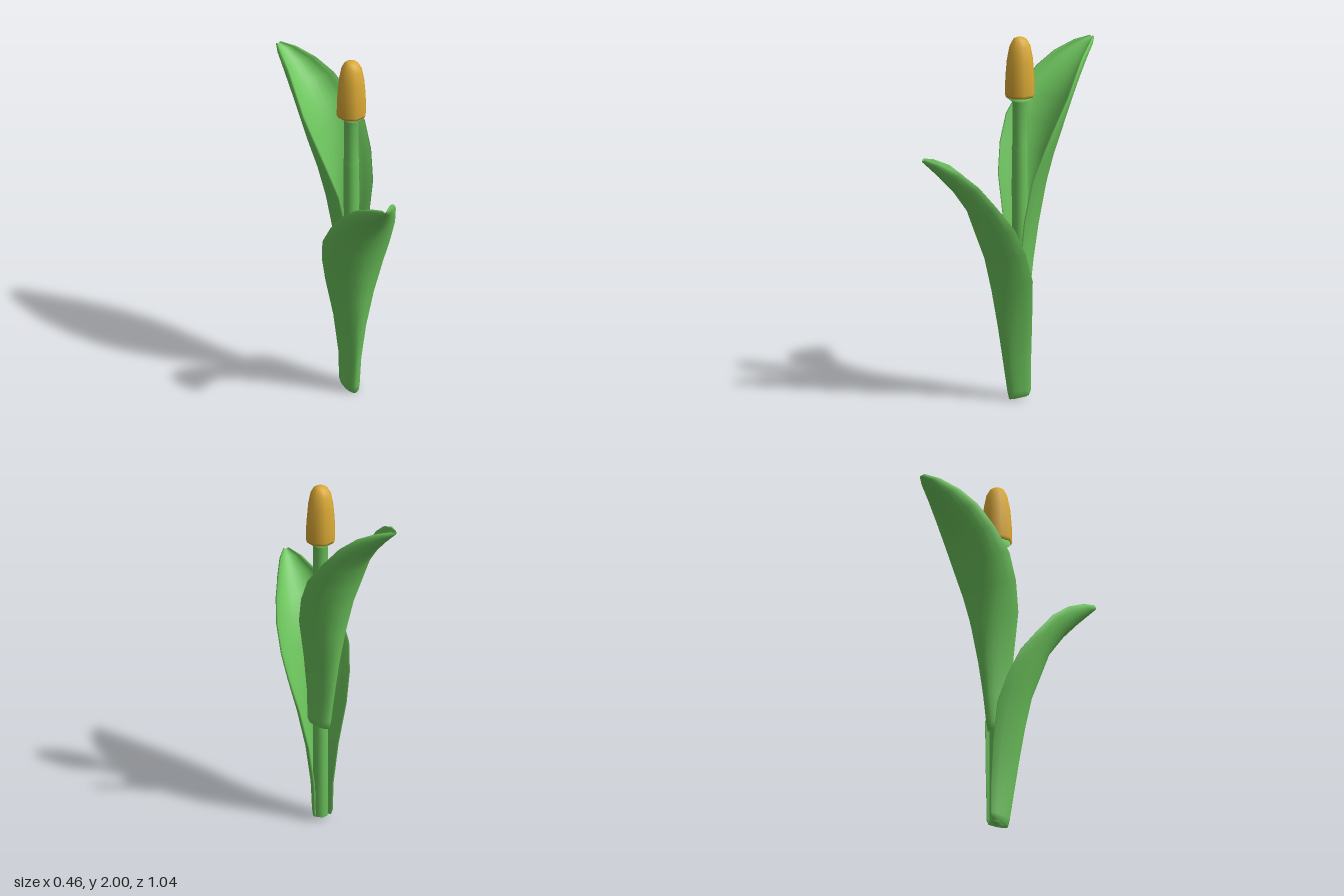
import * as THREE from 'three';

const green = new THREE.MeshStandardMaterial({ color: 0x6cc45c });
green.name = 'leafGreen';
const amber = new THREE.MeshStandardMaterial({ color: 0xdcaa36 });
amber.name = 'budAmber';

// Stem axis in the model frame
const AXIS_X = 0.035, AXIS_Z = -0.035;

// Leaf sections: spine y, spine z, edge y, edge z, half width (z from the stem axis)
const SECTIONS = [
  [0.005, 0.060, 0.03, -0.035, 0.048],
  [0.05, 0.070, 0.06, -0.045, 0.054],
  [0.20, 0.092, 0.22, -0.045, 0.058],
  [0.40, 0.122, 0.45, -0.042, 0.088],
  [0.60, 0.155, 0.68, -0.030, 0.138],
  [0.78, 0.192, 0.84, 0.020, 0.175],
  [0.93, 0.246, 0.98, 0.085, 0.195],
  [1.05, 0.288, 1.11, 0.185, 0.185],
  [1.17, 0.372, 1.22, 0.275, 0.155],
  [1.26, 0.455, 1.295, 0.365, 0.112],
  [1.325, 0.522, 1.345, 0.465, 0.062],
  [1.35, 0.548, 1.365, 0.535, 0.016],
];

// Curved, folded blade: outer skin left to right, then inner skin back again
function leafGeometry() {
  const M = 13, N = 2 * M, T = 0.02;
  const pos = [], idx = [];
  for (const [sy, sz, ey, ez, w] of SECTIONS) {
    const len = Math.hypot(ey - sy, ez - sz);
    const t = Math.min(T, len * 0.5);
    const uy = (ey - sy) / len, uz = (ez - sz) / len;
    for (let k = 0; k < N; k++) {
      const inner = k >= M;
      const s = ((inner ? N - 1 - k : k) / (M - 1)) * 2 - 1;
      const a = s * 1.35;
      const f = (1 - Math.cos(a)) / (1 - Math.cos(1.35));
      const d = len * f + (inner ? t * (1 - 0.9 * f) : 0);
      const half = inner ? w - Math.min(0.01, w * 0.3) : w;
      pos.push(half * Math.sin(a) / Math.sin(1.35), sy + uy * d, sz + uz * d);
    }
  }
  const rings = SECTIONS.length;
  for (let i = 0; i < rings - 1; i++) {
    for (let k = 0; k < N; k++) {
      const a = i * N + k, b = i * N + (k + 1) % N;
      idx.push(a, b, b + N, a, b + N, a + N);
    }
  }
  // Close the rim at the base and the tip
  const top = (rings - 1) * N;
  for (let k = 0; k < M - 1; k++) {
    const a = k, b = k + 1, c = N - 2 - k, d = N - 1 - k;
    idx.push(a, c, b, a, d, c);
    idx.push(top + a, top + b, top + c, top + a, top + c, top + d);
  }
  const g = new THREE.BufferGeometry();
  g.setAttribute('position', new THREE.Float32BufferAttribute(pos, 3));
  g.setIndex(idx);
  g.computeVertexNormals();
  return g;
}

function lathe(name, profile, material) {
  const pts = profile.map(([r, y]) => new THREE.Vector2(r, y));
  const mesh = new THREE.Mesh(new THREE.LatheGeometry(pts, 8), material);
  mesh.name = name;
  return mesh;
}

export function createModel() {
  const plant = new THREE.Group();
  plant.name = 'floweringPlant';
  plant.position.set(AXIS_X, 0, AXIS_Z);

  // Stem with slight joints, flaring under the bud
  plant.add(lathe('stem', [
    [0, 0.02], [0.042, 0.02], [0.043, 0.58], [0.043, 1.11], [0.046, 1.13],
    [0.044, 1.37], [0.046, 1.39], [0.042, 1.41], [0.042, 1.645], [0.076, 1.672], [0, 1.676],
  ], green));

  // Closed bud
  plant.add(lathe('bud', [
    [0, 1.672], [0.076, 1.672], [0.084, 1.69], [0.081, 1.79], [0.073, 1.88],
    [0.059, 1.95], [0.038, 1.988], [0.018, 1.999], [0, 2.0],
  ], amber));

  // Two identical leaves, the rear one turned and set higher
  const blade = leafGeometry();
  for (const [name, y, turn] of [['frontLeaf', 0, 0], ['backLeaf', 0.55, Math.PI + 0.471]]) {
    const leaf = new THREE.Mesh(blade, green);
    leaf.name = name;
    leaf.position.y = y;
    leaf.rotation.y = turn;
    plant.add(leaf);
  }

  const model = new THREE.Group();
  model.name = 'plantModel';
  model.add(plant);
  return model;
}
